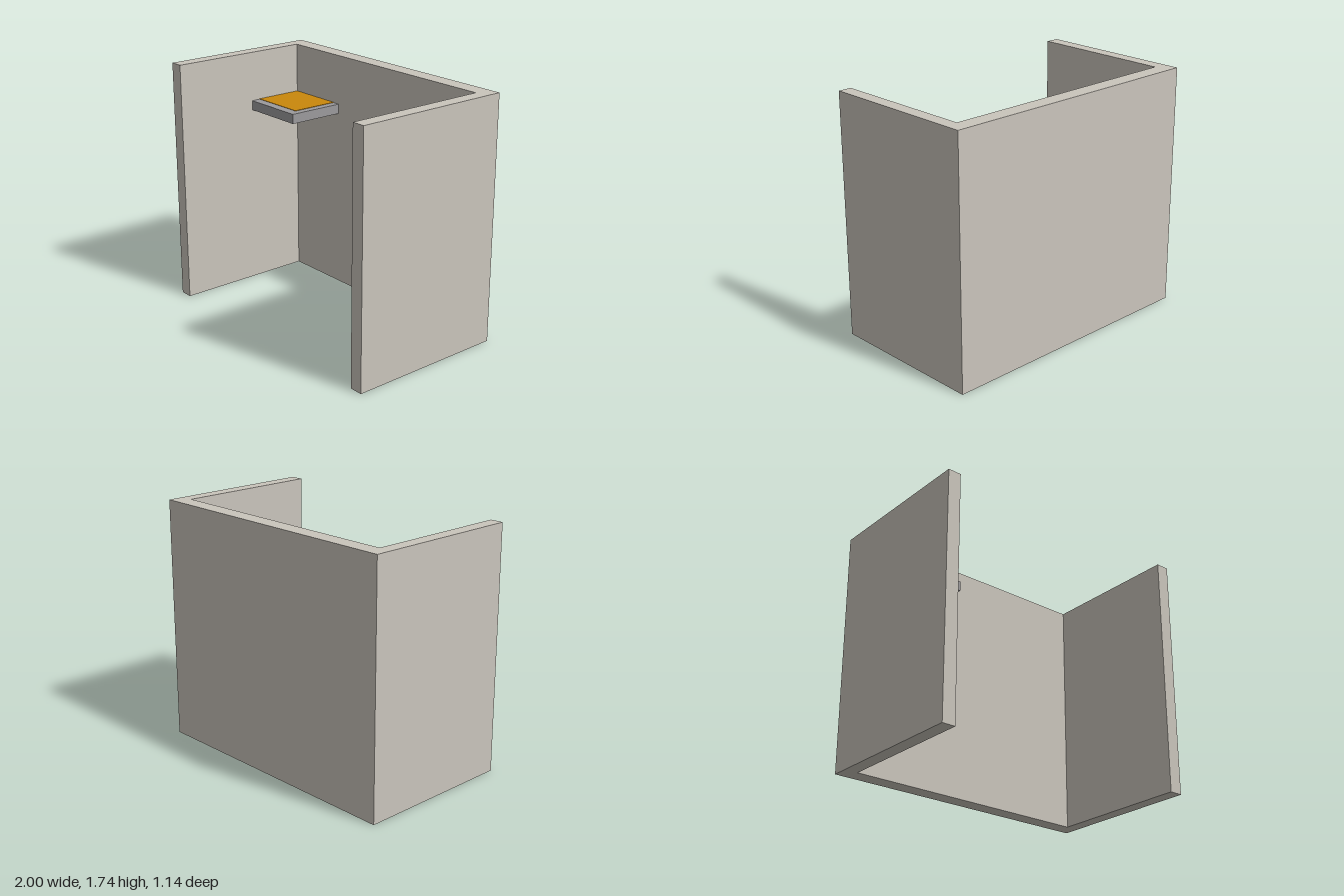
import * as THREE from 'three';

const W = 1, D = 0.572, H = 1.74;      // half width, half depth, height
const INNER_X = 0.905, INNER_Z = -0.455; // inner faces of side and back walls

export function createModel() {
  const group = new THREE.Group();
  const material = (name, color) => {
    const m = new THREE.MeshStandardMaterial({ color });
    m.name = name;
    return m;
  };
  const wallPaint = material('wall stone', 0xcac5bc);
  const shelfGrey = material('shelf grey', 0x9c9b9d);
  const padOrange = material('pad orange', 0xca880c);

  // U-shaped wall: floor plan (x, -z) extruded upwards
  const plan = new THREE.Shape([
    [-W, -D], [-INNER_X, -D], [-INNER_X, -INNER_Z], [INNER_X, -INNER_Z],
    [INNER_X, -D], [W, -D], [W, D], [-W, D],
  ].map(([x, y]) => new THREE.Vector2(x, y)));
  const wallGeometry = new THREE.ExtrudeGeometry(plan, { depth: H, bevelEnabled: false });
  wallGeometry.rotateX(-Math.PI / 2);
  const walls = new THREE.Mesh(wallGeometry, wallPaint);
  walls.name = 'walls';
  group.add(walls);

  // Slab fitted into the back right corner
  const cornerSlab = (name, width, depth, bottom, height, mat) => {
    const mesh = new THREE.Mesh(new THREE.BoxGeometry(width, height, depth), mat);
    mesh.position.set(-INNER_X + width / 2, bottom + height / 2, INNER_Z + depth / 2);
    mesh.name = name;
    group.add(mesh);
  };
  cornerSlab('shelf', 0.475, 0.418, 1.312, 0.07, shelfGrey);
  cornerSlab('shelfPad', 0.42, 0.352, 1.382, 0.003, padOrange);

  return group;
}
